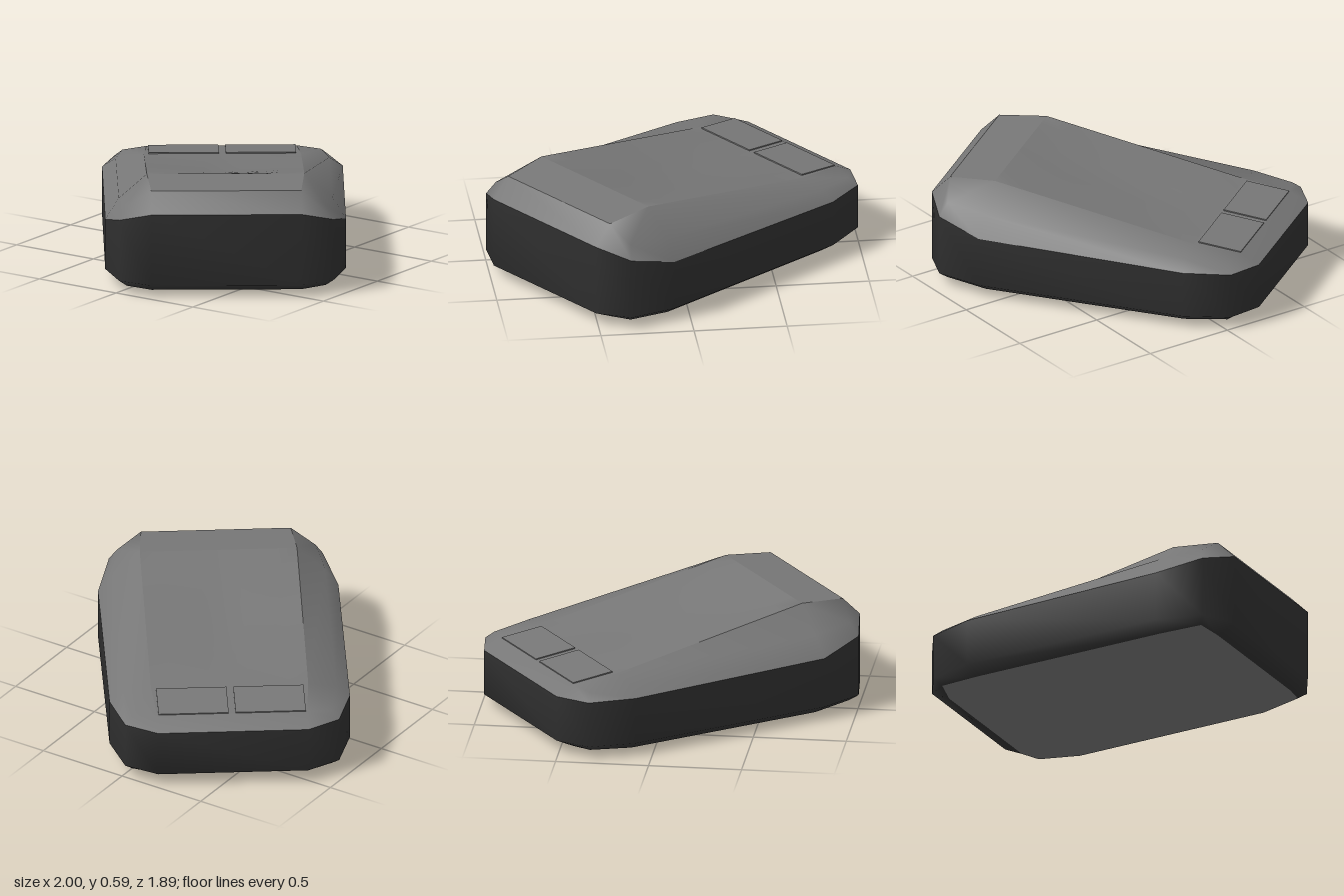
import * as THREE from 'three';
import { mergeVertices } from 'three/addons/utils/BufferGeometryUtils.js';

const flat = [0.56, 0.42];
const inner = [[0.56, 0.57], [0.79, 0.53], [0.82, 0.4]];
const outer = [[0.576, 0.642], [0.822, 0.571], [0.923, 0.401]];
const level = (y) => [y, y, y];
const tailTop = 0.59, noseTop = 0.395;

// One body ring: each corner has a side point, a corner point and an end point.
// side, corner, end = [x, z]; tail and nose = heights [side, corner, end].
function ring(side, corner, end, tail, nose) {
  const plan = [side, corner, end];
  const points = [];
  for (const [sx, sz, order] of [[1, 1, [2, 1, 0]], [-1, 1, [0, 1, 2]], [-1, -1, [2, 1, 0]], [1, -1, [0, 1, 2]]]) {
    for (const k of order) {
      points.push([sx * plan[k][0], (sx > 0 ? nose : tail)[k], sz * plan[k][1]]);
    }
  }
  return points;
}

const rings = [
  ring(flat, flat, flat, level(0), level(0)),
  ring(...inner, [0.02, 0.035, 0.02], [0.02, 0.035, 0.02]),
  ring(...outer, level(0.07), level(0.07)),
  ring(...outer, [0.345, 0.405, 0.46], [0.325, 0.32, 0.32]),
  ring(...inner, [0.457, 0.475, 0.565], [0.375, 0.36, 0.372]),
  ring(flat, flat, flat, level(tailTop), level(noseTop)),
];

// Points where the tail strip and the nose strip of the top begin in a ring
const TAIL = 5, NOSE = 11;

// Collects four-cornered faces and turns them into one smooth geometry
function smoothSurface(quads) {
  const positions = [];
  for (const [a, b, c, d] of quads) {
    positions.push(...a, ...b, ...c, ...a, ...c, ...d);
  }
  const geometry = new THREE.BufferGeometry();
  geometry.setAttribute('position', new THREE.Float32BufferAttribute(positions, 3));
  const merged = mergeVertices(geometry, 1e-4);
  merged.computeVertexNormals();
  return merged;
}

// Face number i between ring r and the ring above it
function ringQuad(r, i) {
  const low = rings[r], high = rings[r + 1], j = (i + 1) % 12;
  return [low[i], high[i], high[j], low[j]];
}

function band(r) {
  return rings[r].map((_, i) => ringQuad(r, i));
}

// Sloping top with a shallow groove along the middle, and its two end strips
function topQuads() {
  const m = 8;
  const point = (i, j) => {
    const u = i / m, v = (j / m) * 2 - 1;
    const dip = 0.028 * Math.sin(Math.PI * u) * (1 - Math.abs(v));
    return [(u * 2 - 1) * flat[0], tailTop + (noseTop - tailTop) * u - dip, v * flat[1]];
  };
  const quads = [ringQuad(4, TAIL), ringQuad(4, NOSE)];
  for (let i = 0; i < m; i++) {
    for (let j = 0; j < m; j++) {
      quads.push([point(i, j), point(i, j + 1), point(i + 1, j + 1), point(i + 1, j)]);
    }
  }
  return quads;
}

export function createModel() {
  const model = new THREE.Group();
  const mouse = new THREE.Group();
  mouse.name = 'mouse';
  const shell = new THREE.MeshStandardMaterial({ color: 0x777777 });
  const dark = new THREE.MeshStandardMaterial({ color: 0x303030 });

  const add = (name, geometry, material) => {
    const mesh = new THREE.Mesh(geometry, material);
    mesh.name = name;
    mouse.add(mesh);
    return mesh;
  };

  const base = rings[0];
  add('underside', smoothSurface([[base[1], base[4], base[7], base[10]], ...band(0)]), shell);
  add('sideBand', smoothSurface([...band(1), ...band(2)]), dark);
  const shoulder = band(4).filter((_, i) => i !== TAIL && i !== NOSE);
  add('shoulder', smoothSurface([...band(3), ...shoulder]), shell);
  add('topCover', smoothSurface(topQuads()), shell);

  // Two thin click buttons at the low end
  for (const side of [-1, 1]) {
    const button = add(side > 0 ? 'frontButton' : 'backButton', new THREE.BoxGeometry(0.24, 0.014, 0.375), shell);
    button.position.set(0.698, 0.382, side * 0.206);
    button.rotation.z = -0.09;
  }

  // The mouse lies diagonally on the ground
  mouse.rotation.y = Math.PI / 5;
  model.add(mouse);
  return model;
}
